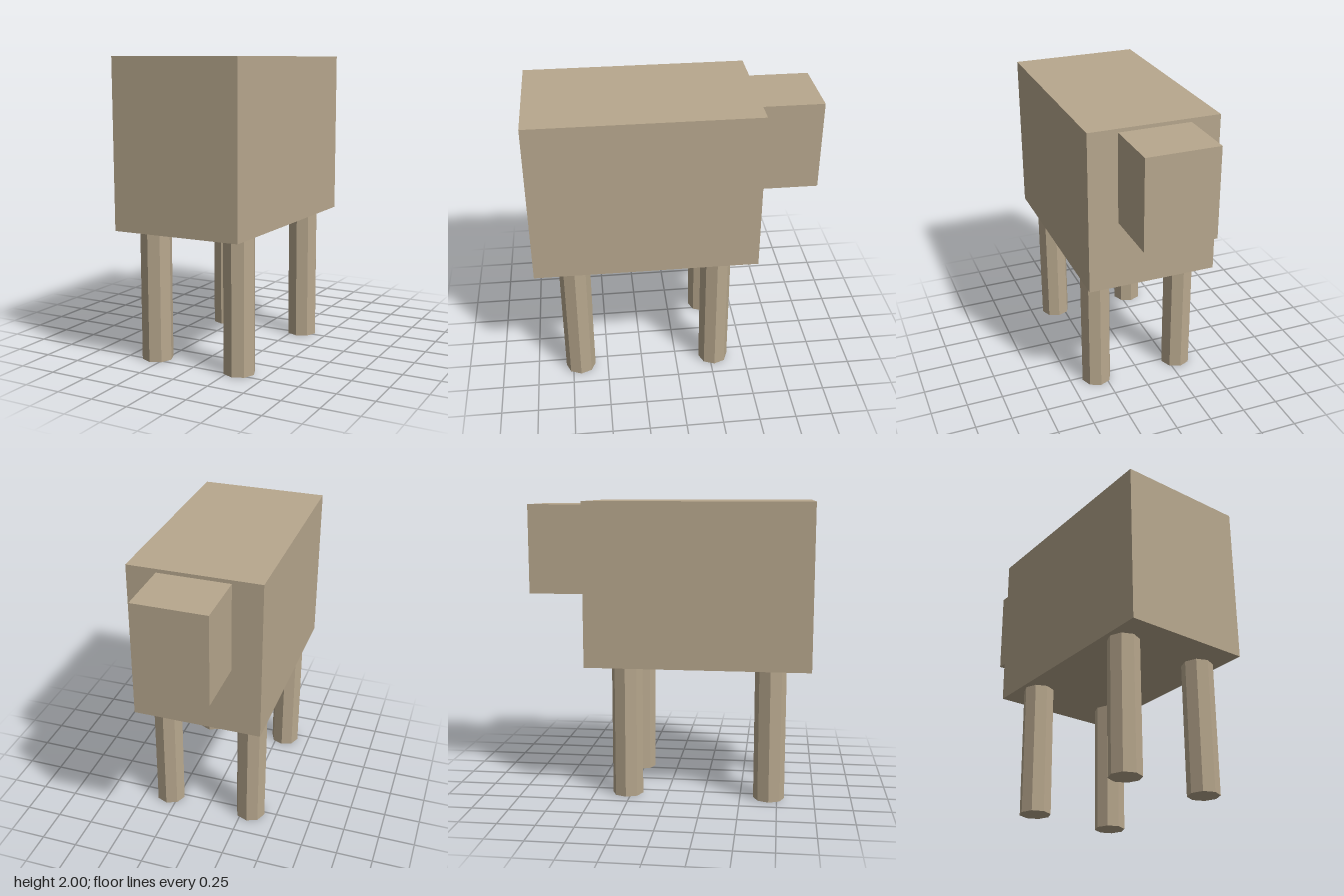
import * as THREE from 'three';

export function createModel() {
  const model = new THREE.Group();
  model.name = 'blockAnimal';
  const hide = new THREE.MeshStandardMaterial({ color: 0xb8a88e, flatShading: true });
  hide.name = 'tan hide';

  function add(name, geometry, x, y, z) {
    const mesh = new THREE.Mesh(geometry, hide);
    mesh.name = name;
    mesh.position.set(x, y, z);
    model.add(mesh);
  }

  // Body, with the head on its back (-z) end
  add('body', new THREE.BoxGeometry(0.885, 1.1, 1.51), 0, 1.45, 0.207);
  add('head', new THREE.BoxGeometry(0.486, 0.605, 0.414), 0, 1.673, -0.755);

  // Four eight-sided legs
  const legGeometry = new THREE.CylinderGeometry(0.105, 0.105, 0.9, 8);
  for (const [side, x] of [['left', 0.31], ['right', -0.31]]) {
    add(side + 'HeadEndLeg', legGeometry, x, 0.45, -0.275);
    add(side + 'TailEndLeg', legGeometry, x, 0.45, 0.695);
  }
  return model;
}
